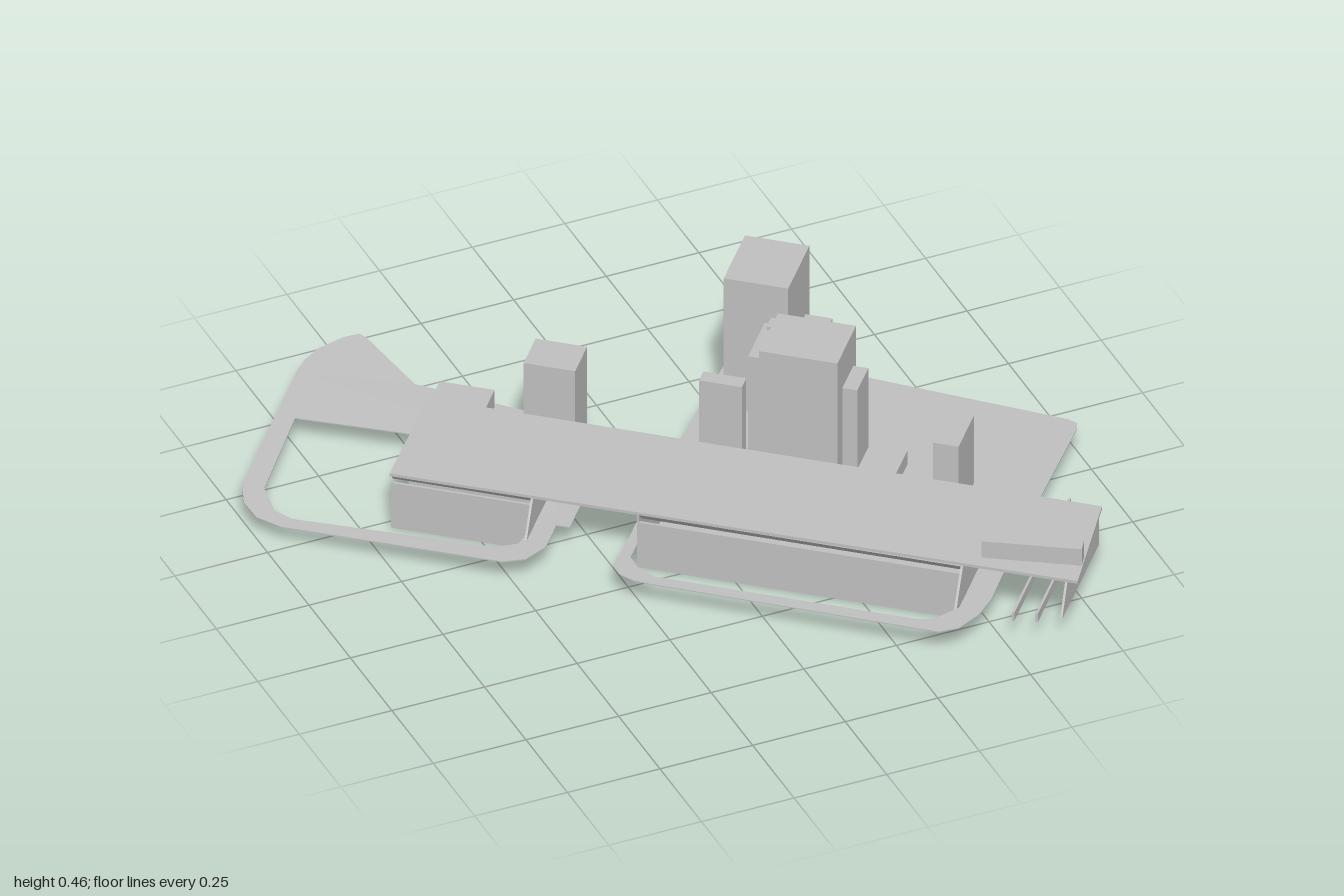
import * as THREE from 'three';

// Local axes: x runs along the station, z across it; the whole block is turned on site.
export function createModel() {
  const root = new THREE.Group();
  root.name = 'stationDistrict';
  const site = new THREE.Group();
  site.name = 'site';
  site.rotation.y = -0.695;
  root.add(site);

  const grey = new THREE.MeshStandardMaterial({ color: 0xc0c0c0, side: THREE.DoubleSide });
  grey.name = 'massing grey';

  function add(name, geometry) {
    const mesh = new THREE.Mesh(geometry, grey);
    mesh.name = name;
    site.add(mesh);
    return mesh;
  }

  // Box from its extents along, up and across
  function block(name, x0, x1, y0, y1, z0, z1) {
    const g = new THREE.BoxGeometry(x1 - x0, y1 - y0, z1 - z0);
    g.translate((x0 + x1) / 2, (y0 + y1) / 2, (z0 + z1) / 2);
    return add(name, g);
  }

  // Cross-section [across, up] swept along the station
  function prism(name, profile, x0, x1) {
    const shape = new THREE.Shape(profile.map(([z, y]) => new THREE.Vector2(-z, y)));
    const g = new THREE.ExtrudeGeometry(shape, { depth: x1 - x0, bevelEnabled: false });
    g.rotateY(Math.PI / 2);
    g.translate(x0, 0, 0);
    return add(name, g);
  }

  // Flat plate from plan points [along, across]; rise gives the height of its top
  function plate(name, outline, opening, thickness, rise) {
    const toPts = (list) => list.map(([x, z]) => new THREE.Vector2(x, z));
    const shape = new THREE.Shape(toPts(outline));
    if (opening.length) shape.holes.push(new THREE.Path(toPts(opening)));
    const g = new THREE.ExtrudeGeometry(shape, { depth: thickness, bevelEnabled: false });
    g.rotateX(Math.PI / 2);
    const p = g.attributes.position;
    for (let i = 0; i < p.count; i++) p.setY(i, p.getY(i) + rise(p.getX(i), p.getZ(i)));
    g.computeVertexNormals();
    return add(name, g);
  }

  // Main island with its loop road
  plate('islandAndLoopRoad', [
    [-0.06, -0.07], [-0.035, -0.57], [-0.027, -0.595], [-0.005, -0.604], [0.84, -0.54],
    [0.868, -0.53], [0.875, -0.505], [0.866, -0.07], [0.872, 0.261], [0.861, 0.333],
    [0.829, 0.402], [0.784, 0.432], [0.049, 0.425], [0.0, 0.422], [-0.04, 0.405],
    [-0.065, 0.375], [-0.06, 0.245],
  ], [
    [-0.03, -0.055], [-0.033, 0.327], [0.0, 0.37], [0.048, 0.392], [0.719, 0.394],
    [0.759, 0.381], [0.806, 0.316], [0.803, -0.055],
  ], 0.003, () => 0.073);

  // Side loop road with the flared apron, tilting gently upward to the back
  plate('sideLoopRoad', [
    [-0.213, -0.06], [-0.21, -0.152], [-0.241, -0.189], [-0.745, -0.242], [-0.91, -0.39],
    [-0.932, -0.402], [-0.968, -0.376], [-1.015, -0.316], [-1.035, -0.26], [-1.04, -0.212],
    [-1.045, 0.266], [-1.02, 0.335], [-0.977, 0.382], [-0.906, 0.407], [-0.335, 0.425],
    [-0.28, 0.4], [-0.247, 0.338], [-0.247, 0.24], [-0.213, 0.24],
  ], [
    [-0.992, -0.03], [-0.988, 0.266], [-0.94, 0.345], [-0.888, 0.37], [-0.368, 0.369],
    [-0.316, 0.34], [-0.301, 0.257], [-0.301, -0.045], [-0.668, -0.042],
  ], 0.003, (x, z) => 0.071 - 0.045 * z * Math.min(1, Math.max(0, (-x - 0.25) / 0.7)));

  // Station roof, slightly skewed at its far end
  plate('stationRoof', [[-0.664, -0.071], [-0.666, 0.269], [1.092, 0.258], [1.062, -0.07]],
    [], 0.008, () => 0.166);

  // Track halls: side walls reaching below ground, end walls and an inward-sloping roof edge
  for (const [x0, x1] of [[-0.665, -0.3], [-0.03, 0.8]]) {
    prism('roofEdge', [[0.264, 0.158], [0.235, 0.158], [0.235, 0.132], [0.24, 0.132]], x0, x1);
    block('frontWall', x0, x1, 0, 0.134, 0.255, 0.262);
    block('backWall', x0, x1, 0, 0.158, -0.062, -0.05);
    block('hallEndWall', x1 - 0.006, x1, 0, 0.06, -0.06, 0.26);
    // Flared fin standing on the end wall
    prism('endFin', [[-0.055, 0.06], [0.33, 0.06], [0.265, 0.158], [-0.055, 0.158]], x1 - 0.006, x1);
  }
  block('hallInnerWall', -0.036, -0.03, 0, 0.158, -0.06, 0.26);
  block('trackFloor', -0.03, 0.8, 0.0, 0.008, -0.06, 0.135);
  for (const [y0, y1, z0, z1] of [[0, 0.06, -0.06, -0.03], [0.02, 0.07, 0.05, 0.1]]) {
    block('platformStrip', -0.665, -0.3, y0, y1, z0, z1);
  }

  // Open end bay: a battered end screen and a short parapet
  prism('endScreen', [[-0.065, 0.055], [0.27, 0.055], [0.21, 0.158], [-0.065, 0.158]], 1.05, 1.056);
  block('endParapet', 0.82, 0.93, 0.1, 0.14, -0.065, -0.055);

  // Cross beams at the end of the station
  block('crossBeam', 0.941, 0.947, 0.06, 0.085, -0.195, 0.32);
  block('crossBeam', 0.998, 1.004, 0.06, 0.085, -0.06, 0.307);

  // Rooftop box, slightly skewed
  const roofBox = add('rooftopBox', new THREE.BoxGeometry(0.25, 0.05, 0.04));
  roofBox.position.set(0.957, 0.19, 0.188);
  roofBox.rotation.y = 0.135;

  // Buildings: centre along, centre across, length, depth, top
  const buildings = [
    ['backTower', 0.095, -0.455, 0.165, 0.193, 0.46],
    ['backTowerAnnex', 0.212, -0.452, 0.07, 0.125, 0.28],
    ['middleTower', 0.28, -0.171, 0.2, 0.17, 0.455],
    ['towerBackSlab', 0.162, -0.195, 0.04, 0.15, 0.41],
    ['stairCore', 0.18, -0.262, 0.05, 0.04, 0.42],
    ['westLowBlock', 0.065, -0.176, 0.15, 0.13, 0.13],
    ['westSlimBlock', 0.085, -0.09, 0.11, 0.04, 0.35],
    ['eastLowBlock', 0.445, -0.176, 0.14, 0.135, 0.115],
    ['eastSlimBlock', 0.396, -0.181, 0.045, 0.1, 0.352],
    ['smallBlock', 0.662, -0.141, 0.065, 0.14, 0.275],
    ['lowPavilion', -0.6, -0.137, 0.14, 0.13, 0.128],
    ['sideTower', -0.357, -0.14, 0.132, 0.11, 0.307],
  ];
  for (const [name, x, z, w, d, top] of buildings) {
    block(name, x - w / 2, x + w / 2, 0.068, top, z - d / 2, z + d / 2);
  }

  return root;
}
